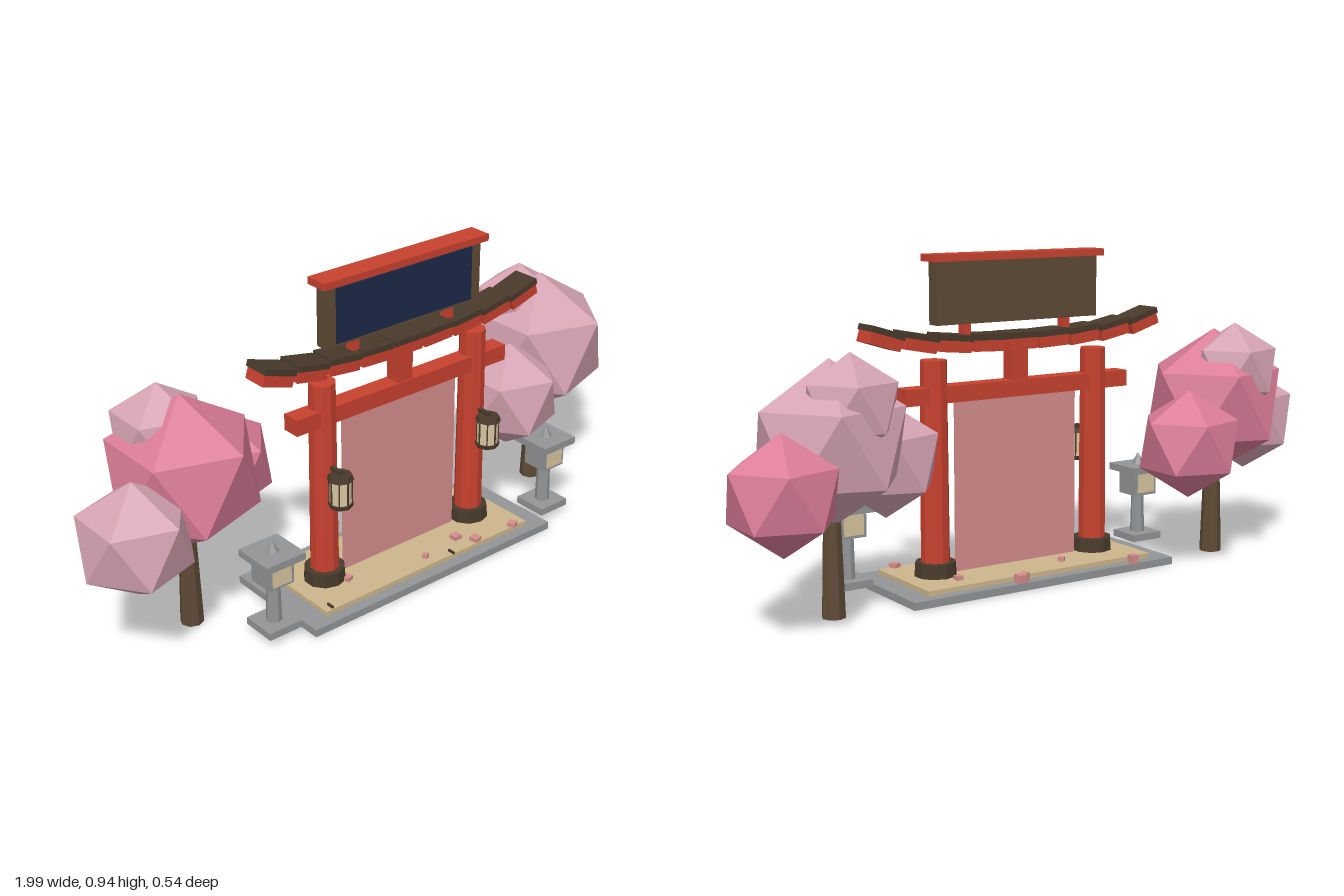
import * as THREE from 'three';

const mat = (name, color) => {
  const m = new THREE.MeshStandardMaterial({ color });
  m.name = name;
  return m;
};

export function createModel() {
  const M = {
    red: mat('red lacquer', 0xc8412f),
    wood: mat('brown wood', 0x5e4a35),
    dark: mat('dark tile', 0x483a2a),
    stone: mat('grey stone', 0x929496),
    sand: mat('sand', 0xcdb68c),
    navy: mat('navy panel', 0x1c2a48),
    cream: mat('lantern paper', 0xd8c6a0),
    pink: mat('deep blossom', 0xdb7c98),
    light: mat('pale blossom', 0xd5a3b3),
    veil: mat('rose veil', 0xd58d8c),
  };
  const model = new THREE.Group();
  model.name = 'shrineGate';
  const CX = 0.008, CZ = 0.095; // gate centre

  const add = (parent, name, geo, m, x, y, z) => {
    const mesh = new THREE.Mesh(geo, m);
    mesh.name = name;
    mesh.position.set(x, y, z);
    parent.add(mesh);
    return mesh;
  };
  const group = (name, x, y, z) => {
    const g = new THREE.Group();
    g.name = name;
    g.position.set(x, y, z);
    model.add(g);
    return g;
  };
  // box given by its bottom height
  const box = (p, name, m, w, h, d, x, y, z) =>
    add(p, name, new THREE.BoxGeometry(w, h, d), m, x, y + h / 2, z);
  // faceted cylinder given by its bottom height
  const cyl = (p, name, m, rTop, rBottom, h, sides, x, y, z) => {
    const g = new THREE.CylinderGeometry(rTop, rBottom, h, sides).toNonIndexed();
    g.computeVertexNormals();
    return add(p, name, g, m, x, y + h / 2, z);
  };
  // icosahedron standing on one corner
  const blob = (p, name, m, r, x, y, z) => {
    const g = new THREE.IcosahedronGeometry(r, 0);
    g.rotateX(-Math.atan2((1 + Math.sqrt(5)) / 2, 1));
    g.rotateY(Math.PI / 2);
    return add(p, name, g, m, x, y, z);
  };

  // Ground
  const ground = group('ground', CX, 0, CZ);
  box(ground, 'stoneSlab', M.stone, 0.882, 0.022, 0.352, 0, 0, 0);
  box(ground, 'sandBed', M.sand, 0.755, 0.014, 0.285, 0, 0.022, 0);

  // Fallen petals: x, z, size, turn
  [[-0.295, -0.07, 0.024, 0], [0.1, -0.068, 0.028, 0.1], [0.08, -0.058, 0.02, 0.5],
    [0.255, 0.012, 0.02, 0], [0.158, 0.177, 0.026, 0], [0.195, 0.222, 0.026, 0.2],
    [0.335, 0.232, 0.024, 0.4], [-0.225, 0.147, 0.022, 0.3], [-0.1, 0.02, 0.018, 0.8],
    [0.02, 0.2, 0.016, 0.6]].forEach(([x, z, s, turn]) => {
    const y = z < -0.05 ? 0.022 : 0.036;
    box(model, 'fallenPetal', M.veil, s, z < -0.05 ? 0.024 : 0.012, s, x, y, z).rotation.y = turn;
  });
  [[-0.345, 0.222], [0.095, 0.228]].forEach(([x, z]) =>
    box(model, 'twig', M.dark, 0.006, 0.006, 0.024, x, 0.036, z));

  // Gate posts, each with a hanging lantern in front
  const gate = group('gate', CX, 0, CZ);
  for (const s of [-1, 1]) {
    const x = s * 0.272;
    cyl(gate, 'post', M.red, 0.038, 0.042, 0.61, 10, x, 0.035, 0);
    cyl(gate, 'postFoot', M.dark, 0.058, 0.061, 0.04, 10, x, 0.036, 0);
    const z = 0.075;
    cyl(gate, 'lanternPaper', M.cream, 0.031, 0.031, 0.08, 8, x, 0.308, z);
    cyl(gate, 'lanternBottom', M.dark, 0.036, 0.033, 0.012, 8, x, 0.3, z);
    cyl(gate, 'lanternTop', M.dark, 0.033, 0.037, 0.014, 8, x, 0.382, z);
    box(gate, 'lanternHook', M.dark, 0.012, 0.01, 0.05, x, 0.396, 0.055);
    for (let i = 0; i < 8; i++) {
      const a = (i * Math.PI) / 4;
      box(gate, 'lanternRib', M.dark, 0.004, 0.08, 0.004,
        x + 0.031 * Math.sin(a), 0.308, z + 0.031 * Math.cos(a)).rotation.y = a;
    }
  }
  box(gate, 'tieBeam', M.red, 0.755, 0.047, 0.055, 0, 0.525, 0);
  box(gate, 'centreStrut', M.red, 0.052, 0.1, 0.048, 0, 0.57, 0);
  box(gate, 'veil', M.veil, 0.412, 0.49, 0.006, 0, 0.036, 0);

  // Upswept roof beam of nine tiled blocks
  const rise = [0.684, 0.685, 0.689, 0.698, 0.716];
  const tilt = [0, 0.04, 0.1, 0.19, 0.3];
  for (let i = -4; i <= 4; i++) {
    const k = Math.abs(i);
    const block = new THREE.Group();
    block.name = 'roofBlock';
    block.position.set(i * 0.109, rise[k], 0);
    block.rotation.z = Math.sign(i) * tilt[k];
    box(block, 'roofBeam', M.red, 0.098, 0.032, 0.074, 0, -0.024, 0);
    box(block, 'roofTile', M.dark, 0.104, 0.017, 0.083, 0, 0.008, 0);
    gate.add(block);
  }

  // Sign board above the roof
  const sign = group('signBoard', CX, 0, 0.097);
  for (const s of [-1, 1]) {
    box(sign, 'signLeg', M.red, 0.022, 0.05, 0.03, s * 0.168, 0.695, 0);
    box(sign, 'signEdge', M.wood, 0.03, 0.175, 0.042, s * 0.255, 0.74, 0);
  }
  box(sign, 'signBack', M.wood, 0.5, 0.175, 0.036, 0, 0.74, -0.002);
  box(sign, 'signPanel', M.navy, 0.478, 0.156, 0.006, 0, 0.75, 0.019);
  box(sign, 'signCap', M.red, 0.575, 0.02, 0.07, 0, 0.915, 0);

  // Stone lanterns
  for (const s of [-1, 1]) {
    const g = group('stoneLantern', CX - 0.003 + s * 0.508, 0, 0.179);
    box(g, 'lanternBase', M.stone, 0.105, 0.021, 0.105, 0, 0.022, 0);
    cyl(g, 'lanternShaft', M.stone, 0.019, 0.022, 0.125, 8, 0, 0.042, 0);
    box(g, 'lanternBox', M.stone, 0.08, 0.075, 0.08, 0, 0.163, 0);
    for (const f of [-1, 1])
      box(g, 'lanternWindow', M.cream, 0.06, 0.058, 0.006, 0, 0.172, f * 0.041);
    box(g, 'lanternRoof', M.stone, 0.126, 0.021, 0.126, 0, 0.235, 0);
    cyl(g, 'lanternFinial', M.stone, 0.001, 0.021, 0.036, 6, 0, 0.255, 0);
  }

  // Blossom trees
  [[-0.642, M.pink], [0.653, M.light]].forEach(([x, crown]) => {
    const g = group('blossomTree', x, 0, -0.01);
    cyl(g, 'trunk', M.wood, 0.022, 0.033, 0.34, 8, 0, 0, 0);
    blob(g, 'mainCrown', crown, 0.222, 0, 0.465, 0);
    blob(g, 'frontCrown', M.light, 0.163, -0.212, 0.385, 0.095);
    blob(g, 'rearCrown', M.pink, 0.159, 0.197, 0.371, -0.125);
    blob(g, 'topCrown', M.light, 0.138, -0.03, 0.569, -0.06);
  });

  return model;
}
